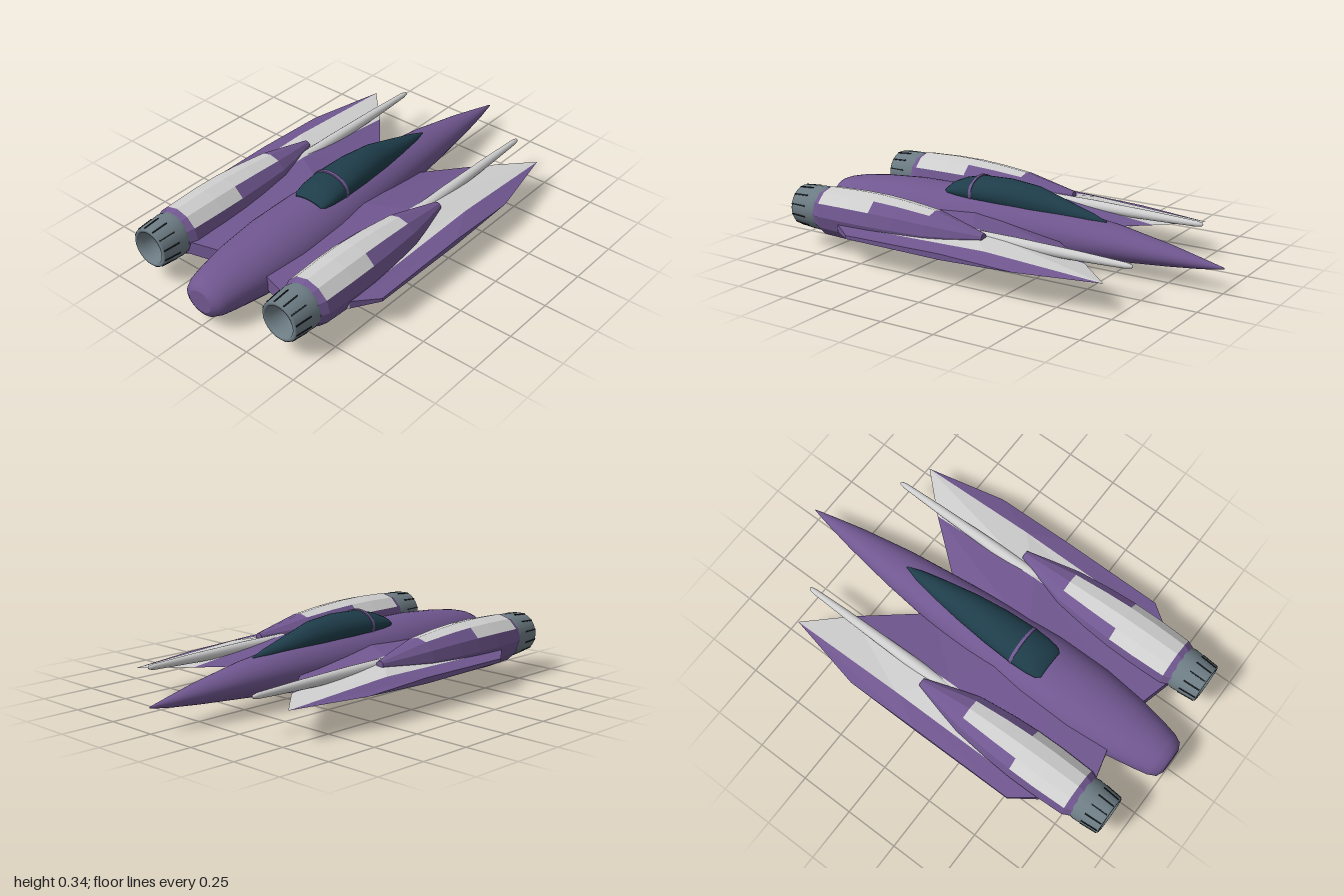
import * as THREE from 'three';

const mat = (name, color) => {
  const m = new THREE.MeshStandardMaterial({ color });
  m.name = name;
  return m;
};

// Skin between cross-sections with end caps; matOf(ring, side) picks a material index
function loft(rings, { smooth = false, matOf = () => 0 } = {}) {
  const n = rings[0].length, pos = [], faces = [];
  rings.forEach(r => r.forEach(p => pos.push(...p)));
  for (let i = 0; i < rings.length - 1; i++)
    for (let j = 0; j < n; j++) {
      const a = i * n + j, b = i * n + (j + 1) % n;
      faces.push([matOf(i, j), a, b, a + n, b, b + n, a + n]);
    }
  for (const i of [0, rings.length - 1]) {
    const s = pos.length / 3;
    rings[i].forEach(p => pos.push(...p));
    for (let j = 1; j < n - 1; j++)
      faces.push([matOf(Math.max(0, i - 1), 0), s, ...(i ? [s + j, s + j + 1] : [s + j + 1, s + j])]);
  }
  faces.sort((a, b) => a[0] - b[0]);
  let geo = new THREE.BufferGeometry();
  const index = [];
  for (const [m, ...v] of faces) {
    const last = geo.groups[geo.groups.length - 1];
    if (last && last.materialIndex === m) last.count += v.length;
    else geo.addGroup(index.length, v.length, m);
    index.push(...v);
  }
  geo.setAttribute('position', new THREE.Float32BufferAttribute(pos, 3));
  geo.setIndex(index);
  if (!smooth) geo = geo.toNonIndexed();
  geo.computeVertexNormals();
  return geo;
}

// Elliptical cross-section facing z
const oval = (cx, cy, z, rx, ry, n) => Array.from({ length: n }, (_, j) => {
  const a = Math.PI / 2 + j / n * Math.PI * 2;
  return [cx + rx * Math.cos(a), cy + ry * Math.sin(a), z];
});

// Lathe whose axis runs along z
const latheZ = (pts, sides) =>
  new THREE.LatheGeometry(pts.map(([r, z]) => new THREE.Vector2(r, z)), sides).rotateX(Math.PI / 2);

export function createModel() {
  const purple = mat('purple hull', 0x705790);
  const white = mat('pale panel', 0xcfcfcf);
  const glass = mat('dark canopy', 0x1e3d4a);
  const steel = mat('nozzle steel', 0x6d7c84);
  const black = mat('slot black', 0x1a2024);
  const glow = mat('engine glow', 0xb488d4);
  steel.side = THREE.DoubleSide;

  const model = new THREE.Group();
  const add = (parent, name, geo, material) => {
    const mesh = new THREE.Mesh(geo, material);
    mesh.name = name;
    parent.add(mesh);
    return mesh;
  };

  // Fuselage: z, half width, bottom, top
  const hull = [
    [-1, 0.002, 0.105, 0.113], [-0.9, 0.025, 0.09, 0.135], [-0.75, 0.055, 0.075, 0.167],
    [-0.5, 0.095, 0.055, 0.21], [-0.25, 0.123, 0.03, 0.24], [0, 0.147, 0.012, 0.258],
    [0.3, 0.17, 0, 0.268], [0.55, 0.168, 0.003, 0.265], [0.75, 0.147, 0.015, 0.25],
    [0.88, 0.124, 0.028, 0.232], [0.95, 0.108, 0.038, 0.215], [0.985, 0.09, 0.05, 0.2],
    [1, 0.06, 0.075, 0.175],
  ];
  add(model, 'fuselage', loft(hull.map(([z, w, b, t]) =>
    oval(0, (b + t) / 2, z, w, (t - b) / 2, 40)), { smooth: true }), purple);

  // Canopy: z, half width, centre height, half height
  const dome = [
    [-0.45, 0.003, 0.215, 0.005], [-0.38, 0.025, 0.222, 0.022], [-0.25, 0.05, 0.235, 0.045],
    [-0.1, 0.072, 0.252, 0.071], [0.05, 0.088, 0.263, 0.072], [0.2, 0.096, 0.265, 0.063],
    [0.28, 0.094, 0.262, 0.046], [0.325, 0.086, 0.258, 0.031], [0.345, 0.07, 0.255, 0.016],
  ];
  add(model, 'canopy', loft(dome.map(([z, w, y, h]) => oval(0, y, z, w, h, 32)), { smooth: true }), glass);
  add(model, 'canopyFrame', loft([0.19, 0.204].map(z => oval(0, 0.265, z, 0.097, 0.069, 32))), purple);

  for (const s of [1, -1]) {
    const side = new THREE.Group();
    side.name = s > 0 ? 'leftSide' : 'rightSide';
    model.add(side);

    // Wing: x, front, back, bottom, top of each rib
    const ribs = [
      [0.08, -0.24, 0.74, 0.09, 0.2], [0.31, -0.52, 0.8, 0.09, 0.195],
      [0.48, -0.7, 0.64, 0.105, 0.165], [0.56, -0.33, 0.53, 0.12, 0.146],
    ].map(([x, f, b, lo, hi]) => {
      const mid = f + (b - f) * 0.42, e = 0.133;
      return [[s * x, hi, mid], [s * x, e + (hi - e) * 0.6, b], [s * x, e + (lo - e) * 0.6, b],
        [s * x, lo, mid], [s * x, e, f]];
    });
    if (s < 0) ribs.reverse();
    add(side, 'wing', loft(ribs, { matOf: i => (i === 1 ? 1 : 0) }), [purple, white]);

    // Engine nacelle with pale top panels: z, centre x, radius
    const pod = [
      [-0.07, 0.38, 0.02, 0.185], [0.07, 0.373, 0.063, 0.175], [0.185, 0.368, 0.095, 0.17],
      [0.35, 0.367, 0.113, 0.17], [0.475, 0.367, 0.121, 0.17], [0.6, 0.367, 0.122, 0.17],
      [0.76, 0.367, 0.116, 0.17], [0.795, 0.367, 0.1, 0.172],
    ];
    const panel = (i, j) => {
      const fromTop = Math.min(j, 11 - j);
      return (i >= 2 && i <= 3 && fromTop < 1) || (i >= 4 && i <= 5 && fromTop < 2) ? 1 : 0;
    };
    add(side, 'nacelle', loft(pod.map(([z, x, r, y]) =>
      oval(s * x, y, z, r, r * 0.96, 12)), { matOf: panel }), [purple, white]);

    // Nozzle, its slots and the glowing core
    const nozzle = new THREE.Group();
    nozzle.name = 'nozzle';
    nozzle.position.set(s * 0.367, 0.173, 0);
    side.add(nozzle);
    add(nozzle, 'nozzleShell', latheZ([[0.095, 0.78], [0.101, 0.81], [0.091, 0.925],
      [0.086, 0.93], [0.074, 0.93], [0.068, 0.9], [0.05, 0.83]], 32), steel);
    add(nozzle, 'glowDisc', new THREE.CircleGeometry(0.052, 32), glow).position.z = 0.835;
    for (let k = 0; k < 12; k++) {
      const spoke = new THREE.Group();
      spoke.name = 'nozzleSlot';
      spoke.rotation.z = (k + 0.5) / 12 * Math.PI * 2;
      const slot = add(spoke, 'slot', new THREE.BoxGeometry(0.006, 0.006, 0.08), black);
      slot.position.set(0.094, 0, 0.885);
      slot.rotation.y = -0.087;
      nozzle.add(spoke);
    }

    // Long gun barrel above the wing
    add(side, 'gunBarrel', latheZ([[0.027, 0.05], [0.027, -0.2], [0.021, -0.5], [0.013, -0.72],
      [0.008, -0.745], [0, -0.752]].reverse(), 16), white).position.set(s * 0.33, 0.168, 0);
  }
  return model;
}
